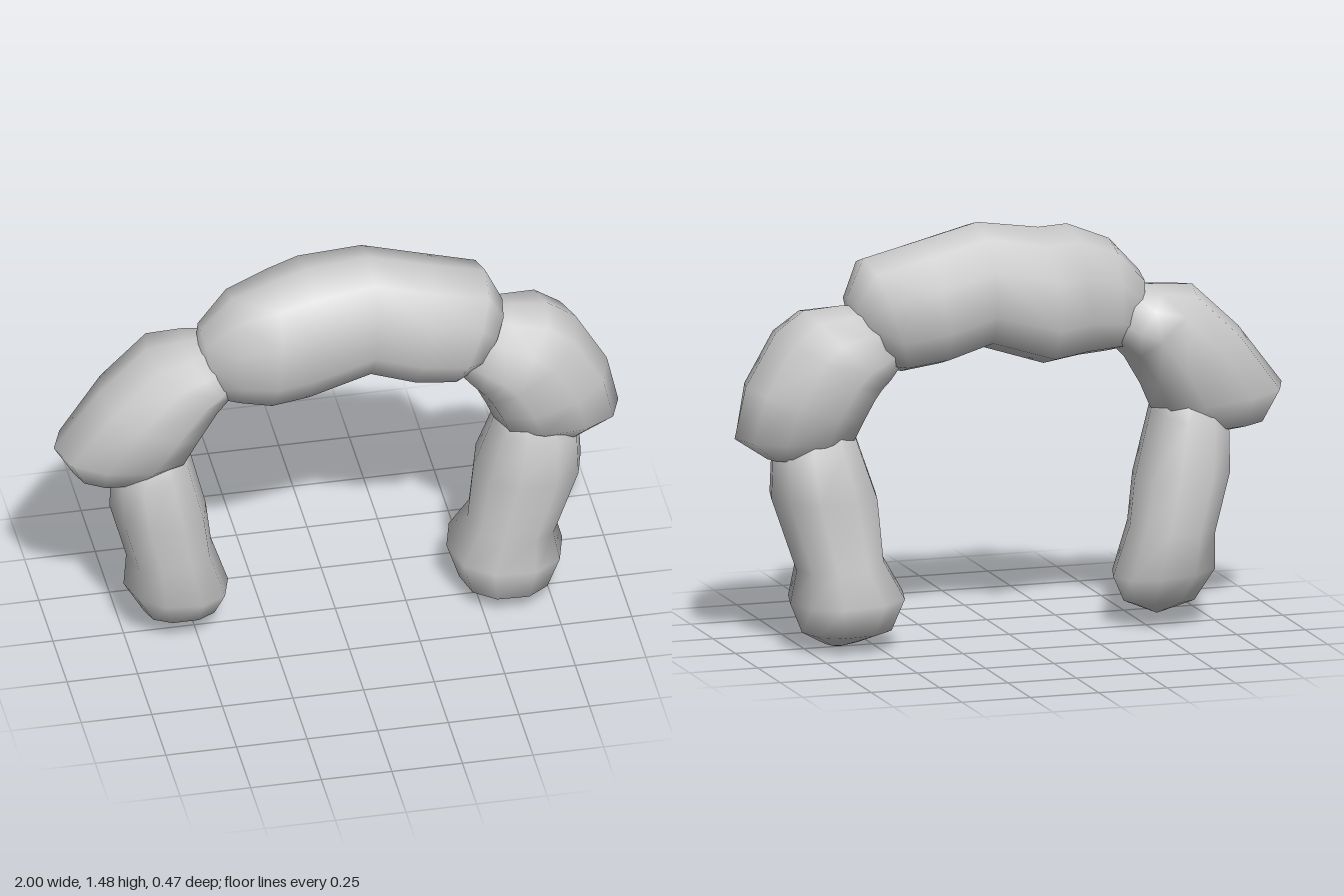
import * as THREE from 'three';

const SIDES = 10;
const material = new THREE.MeshStandardMaterial({ color: 0xcccccc });

// Boulder lofted along the arch. Each station is
// [inner x, inner y, outer x, outer y, back z, front z]; start and end are closing points.
function boulder(name, start, stations, end) {
  const pos = [...start];
  const index = [];
  for (const [ax, ay, bx, by, z0, z1] of stations) {
    for (let j = 0; j < SIDES; j++) {
      const a = (j / SIDES) * Math.PI * 2;
      const soft = (v) => Math.sign(v) * Math.abs(v) ** 0.88; // slightly squared oval
      const u = (soft(Math.cos(a)) + 1) / 2;
      const w = (soft(Math.sin(a)) / Math.sin(Math.PI * 0.4) ** 0.88 + 1) / 2;
      pos.push(ax + (bx - ax) * u, ay + (by - ay) * u, z0 + (z1 - z0) * w);
    }
  }
  pos.push(...end);
  const last = pos.length / 3 - 1;
  const id = (i, j) => 1 + i * SIDES + (j % SIDES);
  const top = stations.length - 1;
  for (let j = 0; j < SIDES; j++) {
    index.push(0, id(0, j + 1), id(0, j));
    for (let i = 0; i < top; i++) {
      index.push(id(i, j), id(i, j + 1), id(i + 1, j + 1));
      index.push(id(i, j), id(i + 1, j + 1), id(i + 1, j));
    }
    index.push(last, id(top, j), id(top, j + 1));
  }
  const geometry = new THREE.BufferGeometry();
  geometry.setAttribute('position', new THREE.Float32BufferAttribute(pos, 3));
  geometry.setIndex(index);
  geometry.computeVertexNormals();
  const mesh = new THREE.Mesh(geometry, material);
  mesh.name = name;
  return mesh;
}

export function createModel() {
  const arch = new THREE.Group();
  arch.name = 'rockArch';

  arch.add(
    // Right leg, from the foot up into the shoulder
    boulder('rightLeg', [-0.54, 0.04, 0], [
      [-0.42, 0.09, -0.68, 0.09, -0.09, 0.1],
      [-0.38, 0.18, -0.75, 0.21, -0.16, 0.16],
      [-0.44, 0.36, -0.74, 0.33, -0.17, 0.16],
      [-0.46, 0.52, -0.8, 0.55, -0.17, 0.18],
      [-0.52, 0.76, -0.8, 0.68, -0.14, 0.16],
      [-0.56, 0.88, -0.76, 0.84, -0.1, 0.11],
    ], [-0.66, 0.92, 0]),

    // Right shoulder, overhanging outwards
    boulder('rightShoulder', [-0.78, 0.67, 0], [
      [-0.63, 0.69, -0.93, 0.71, -0.1, 0.11],
      [-0.52, 0.77, -1.0, 0.83, -0.15, 0.18],
      [-0.48, 0.86, -0.84, 1.04, -0.18, 0.2],
      [-0.42, 0.96, -0.67, 1.2, -0.18, 0.19],
      [-0.38, 1.0, -0.54, 1.21, -0.16, 0.16],
      [-0.34, 1.05, -0.42, 1.22, -0.1, 0.1],
    ], [-0.33, 1.13, 0]),

    // Crown spanning the top
    boulder('crown', [-0.51, 1.12, 0.03], [
      [-0.43, 0.99, -0.48, 1.26, -0.1, 0.13],
      [-0.36, 0.98, -0.37, 1.38, -0.15, 0.19],
      [-0.26, 0.97, -0.22, 1.44, -0.18, 0.235],
      [-0.12, 0.96, -0.1, 1.445, -0.235, 0.2],
      [0.1, 1.03, 0.12, 1.475, -0.2, 0.19],
      [0.25, 0.98, 0.33, 1.42, -0.19, 0.2],
      [0.39, 0.96, 0.53, 1.37, -0.17, 0.19],
      [0.46, 0.98, 0.59, 1.24, -0.12, 0.13],
    ], [0.57, 1.08, 0]),

    // Left shoulder, overhanging outwards
    boulder('leftShoulder', [0.42, 1.08, 0], [
      [0.42, 0.97, 0.48, 1.2, -0.11, 0.11],
      [0.45, 0.93, 0.62, 1.21, -0.15, 0.15],
      [0.48, 0.9, 0.75, 1.2, -0.18, 0.19],
      [0.5, 0.87, 0.85, 1.13, -0.19, 0.2],
      [0.53, 0.81, 0.96, 0.94, -0.18, 0.2],
      [0.56, 0.74, 1.0, 0.76, -0.14, 0.16],
      [0.68, 0.7, 0.88, 0.68, -0.09, 0.11],
    ], [0.77, 0.67, 0]),

    // Left leg, from the shoulder down to the flared foot
    boulder('leftLeg', [0.7, 0.92, 0], [
      [0.6, 0.86, 0.79, 0.86, -0.1, 0.11],
      [0.55, 0.72, 0.86, 0.69, -0.14, 0.16],
      [0.49, 0.54, 0.87, 0.54, -0.19, 0.18],
      [0.47, 0.32, 0.78, 0.28, -0.17, 0.15],
      [0.4, 0.19, 0.81, 0.17, -0.235, 0.17],
      [0.44, 0.07, 0.76, 0.06, -0.17, 0.15],
      [0.53, 0.03, 0.67, 0.01, -0.06, 0.07],
    ], [0.62, 0, 0]),
  );
  return arch;
}
